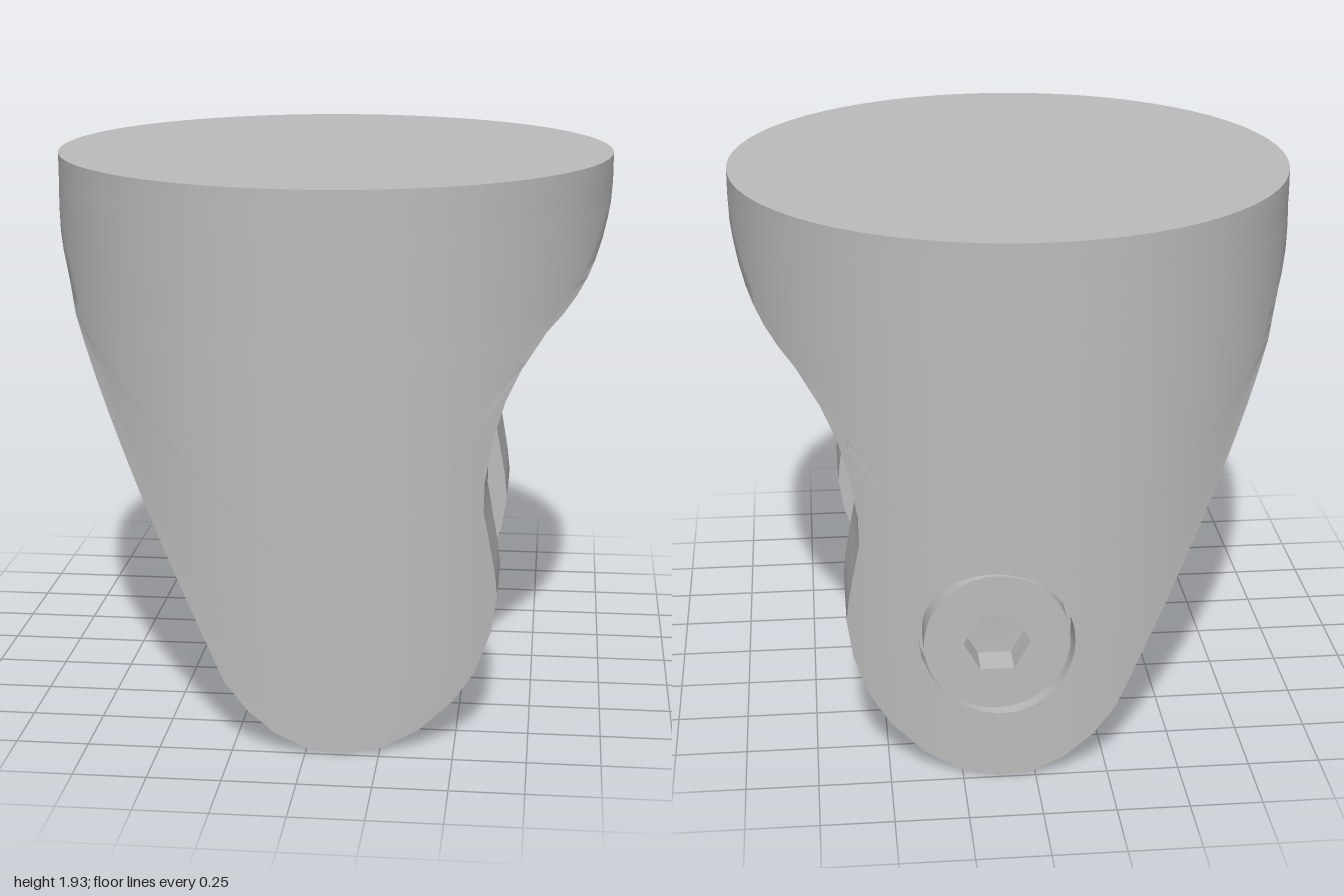
import * as THREE from 'three';
import { toCreasedNormals } from 'three/addons/utils/BufferGeometryUtils.js';

const N = 32;                       // steps across the round wall
const SEAM = 1.4, TOP = 1.93;       // roof of the slot, top of the body
const SLOT = { 1: 0.45, '-1': -0.39 };
const PIN = { x: 0.13, y: 0.51 };
const XL = -0.86, XR = 0.78;        // body width at the seam

const round = (x) => Math.sqrt(Math.max(0, 1 - x * x));

// x positions from right to left, evenly spaced around the unit circle
function arc(xl, xr) {
  const a = Math.acos(xr), b = Math.acos(xl);
  return Array.from({ length: N + 1 }, (_, i) =>
    i === 0 ? xr : i === N ? xl : Math.cos(a + (b - a) * i / N));
}

function tri(out, a, b, c, flip) {
  for (const p of flip ? [a, c, b] : [a, b, c]) out.push(...p);
}

// skin between successive loops of equal length
function skin(out, loops, flip, skip = () => false) {
  for (let k = 0; k < loops.length - 1; k++) {
    const A = loops[k], B = loops[k + 1];
    for (let i = 0; i < A.length; i++) {
      if (skip(k, i)) continue;
      const j = (i + 1) % A.length;
      tri(out, A[i], A[j], B[j], flip);
      tri(out, A[i], B[j], B[i], flip);
    }
  }
}

// upper block: a round section trimmed left and right at each height
function addBlock(out) {
  const levels = [
    [SEAM, XL, XR], [1.45, -0.873, 0.835], [1.5, -0.887, 0.88], [1.55, -0.905, 0.915],
    [1.6, -0.93, 0.94], [1.66, -0.955, 0.963], [1.72, -0.976, 0.98],
    [1.77, -0.99, 0.992], [1.83, -1, 1], [TOP, -1, 1],
  ];
  const loops = levels.map(([y, xl, xr]) => {
    const xs = arc(xl, xr);
    return [...xs.map((x) => [x, y, round(x)]).reverse(),
      ...xs.map((x) => [x, y, -round(x)])];
  });
  const top = loops[loops.length - 1];
  loops.push(top.map(() => [0, TOP, 0]));
  skin(out, loops, false);
  // roof of the slot
  const [f, b] = [SLOT[1], SLOT[-1]];
  const r = [[XL, SEAM, b], [XR, SEAM, b], [XR, SEAM, f], [XL, SEAM, f]];
  tri(out, r[0], r[1], r[2]);
  tri(out, r[0], r[2], r[3]);
}

// side profile of a leg, counterclockwise from the upper right corner
function legOutline() {
  const pts = arc(XL, XR).map((x) => [x, SEAM]);
  for (let i = 1; i <= 12; i++) {
    pts.push([XL + 0.58 * i / 12, SEAM - 1.17 * i / 12]);
  }
  pts.push([-0.2, 0.14], [-0.1, 0.065], [0.01, 0.018], [0.13, 0], [0.25, 0.015],
    [0.38, 0.07], [0.49, 0.155], [0.565, 0.25], [0.615, 0.38], [0.635, 0.51],
    [0.625, 0.6], [0.605, 0.71], [0.585, 0.82], [0.587, 0.92], [0.61, 1.06],
    [0.65, 1.19], [0.7, 1.29]);
  return pts;
}

// a leg: flat inner wall, profiled edge, round outer wall; s = 1 front, -1 back
function addLeg(out, s) {
  const outline = legOutline();
  const zi = SLOT[s], hole = s < 0 ? 0.265 : 0;
  const ring = (t) => outline.map(([x, y]) => {
    const dx = x - PIN.x, dy = y - PIN.y, d = Math.hypot(dx, dy);
    const k = (d + (hole - d) * t) / d;
    const px = PIN.x + dx * k;
    return [px, PIN.y + dy * k, s * round(px)];
  });
  const loops = [outline.map(() => [PIN.x, PIN.y, zi]), outline.map(([x, y]) => [x, y, zi])];
  for (let i = 0; i <= 10; i++) loops.push(ring(i / 10));
  if (s < 0) {                      // counterbore for the screw head
    const rim = loops[loops.length - 1];
    loops.push(rim.map(([x, y]) => [x, y, -0.86]), rim.map(() => [PIN.x, PIN.y, -0.83]));
  }
  skin(out, loops, s < 0, (k, i) => k === 1 && i < N);
}

export function createModel() {
  const group = new THREE.Group();
  const metal = new THREE.MeshStandardMaterial({ color: 0xbcbcbc });
  metal.name = 'grey metal';
  const add = (geometry, name) => {
    const mesh = new THREE.Mesh(geometry, metal);
    mesh.name = name;
    group.add(mesh);
    return mesh;
  };

  // forked body
  const out = [];
  addBlock(out);
  addLeg(out, 1);
  addLeg(out, -1);
  const body = new THREE.BufferGeometry();
  body.setAttribute('position', new THREE.Float32BufferAttribute(out, 3));
  add(toCreasedNormals(body, 0.6), 'forkedBody');

  // six-sided cross pin through the slot
  const pin = new THREE.CylinderGeometry(0.2, 0.2, 1, 6, 1, true).toNonIndexed();
  pin.computeVertexNormals();
  add(pin.rotateX(Math.PI / 2), 'crossPin').position.set(PIN.x, PIN.y, 0.03);

  // screw head with a hexagonal socket
  const disc = new THREE.Shape().absarc(0, 0, 0.25, 0, Math.PI * 2);
  const hex = Array.from({ length: 6 }, (_, i) =>
    new THREE.Vector2(0.115 * Math.cos(i * Math.PI / 3), 0.115 * Math.sin(i * Math.PI / 3)));
  disc.holes.push(new THREE.Path(hex));
  const head = new THREE.ExtrudeGeometry(disc, { depth: 0.12, bevelEnabled: false, curveSegments: 20 });
  add(toCreasedNormals(head, 0.5), 'screwHead').position.set(PIN.x, PIN.y, -0.975);

  return group;
}
